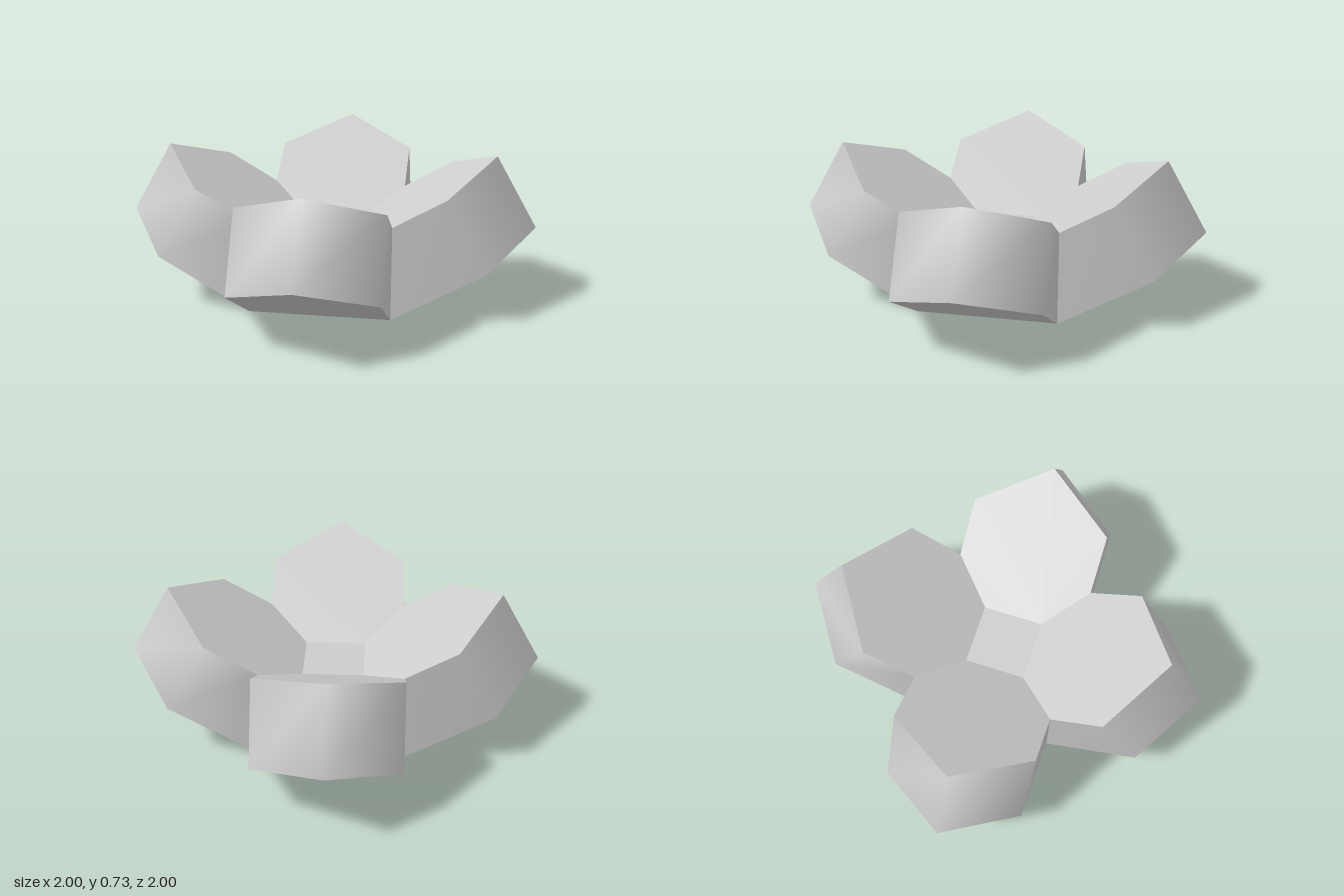
import * as THREE from 'three';

const SLOPE = Math.tan(Math.PI / 6);
const BASE = 0.34, INNER = 0.148, TOP_Y = 0.348;

// Heights of the tilted lower and upper petal planes at distance x
const low = (x, z) => [x, (x - BASE) * SLOPE, z];
const high = (x, z) => [x, TOP_Y + (x - INNER) * SLOPE, z];

function geometry(points, index) {
  const g = new THREE.BufferGeometry();
  g.setAttribute('position', new THREE.Float32BufferAttribute(points.flat(), 3));
  g.setIndex(index);
  g.computeVertexNormals();
  return g;
}

// Flat convex polygon, corners counter-clockwise from its front
function polygon(points) {
  const index = [];
  for (let i = 1; i < points.length - 1; i++) index.push(0, i, i + 1);
  return geometry(points, index);
}

// Smoothly shaded wall between two matching outlines
function wall(bottom, top) {
  const n = bottom.length, index = [];
  for (let i = 0; i < n - 1; i++) {
    index.push(i, i + 1, n + i + 1, i, n + i + 1, n + i);
  }
  return geometry([...bottom, ...top], index);
}

export function createModel() {
  const model = new THREE.Group();
  model.name = 'fourPetalBowl';
  const grey = new THREE.MeshStandardMaterial({ color: 0xcccccc });
  grey.name = 'lightGrey';

  const add = (parent, name, geo) => {
    const mesh = new THREE.Mesh(geo, grey);
    mesh.name = name;
    parent.add(mesh);
  };

  // Petal outlines, running from the +z side round the tip to the -z side
  const bottom = [low(BASE, BASE), low(0.78, BASE), low(1, 0), low(0.78, -BASE), low(BASE, -BASE)];
  const top = [high(BASE, BASE), high(0.585, BASE), high(0.802, 0), high(0.585, -BASE), high(BASE, -BASE)];
  const topFace = polygon([high(INNER, INNER), ...top, high(INNER, -INNER)]);
  const underside = polygon([...bottom].reverse());
  const rim = wall(bottom, top);

  // Four identical petals around the centre
  for (let i = 0; i < 4; i++) {
    const petal = new THREE.Group();
    petal.name = ['leftPetal', 'backPetal', 'rightPetal', 'frontPetal'][i];
    petal.rotation.y = i * Math.PI / 2;
    add(petal, 'petalTop', topFace);
    add(petal, 'petalUnderside', underside);
    add(petal, 'petalRim', rim);
    model.add(petal);
  }

  // Central square floor and base
  const square = (s, y) => [[-s, y, s], [s, y, s], [s, y, -s], [-s, y, -s]];
  add(model, 'bowlFloor', polygon(square(INNER, TOP_Y)));
  add(model, 'base', polygon(square(BASE, 0).reverse()));

  return model;
}
